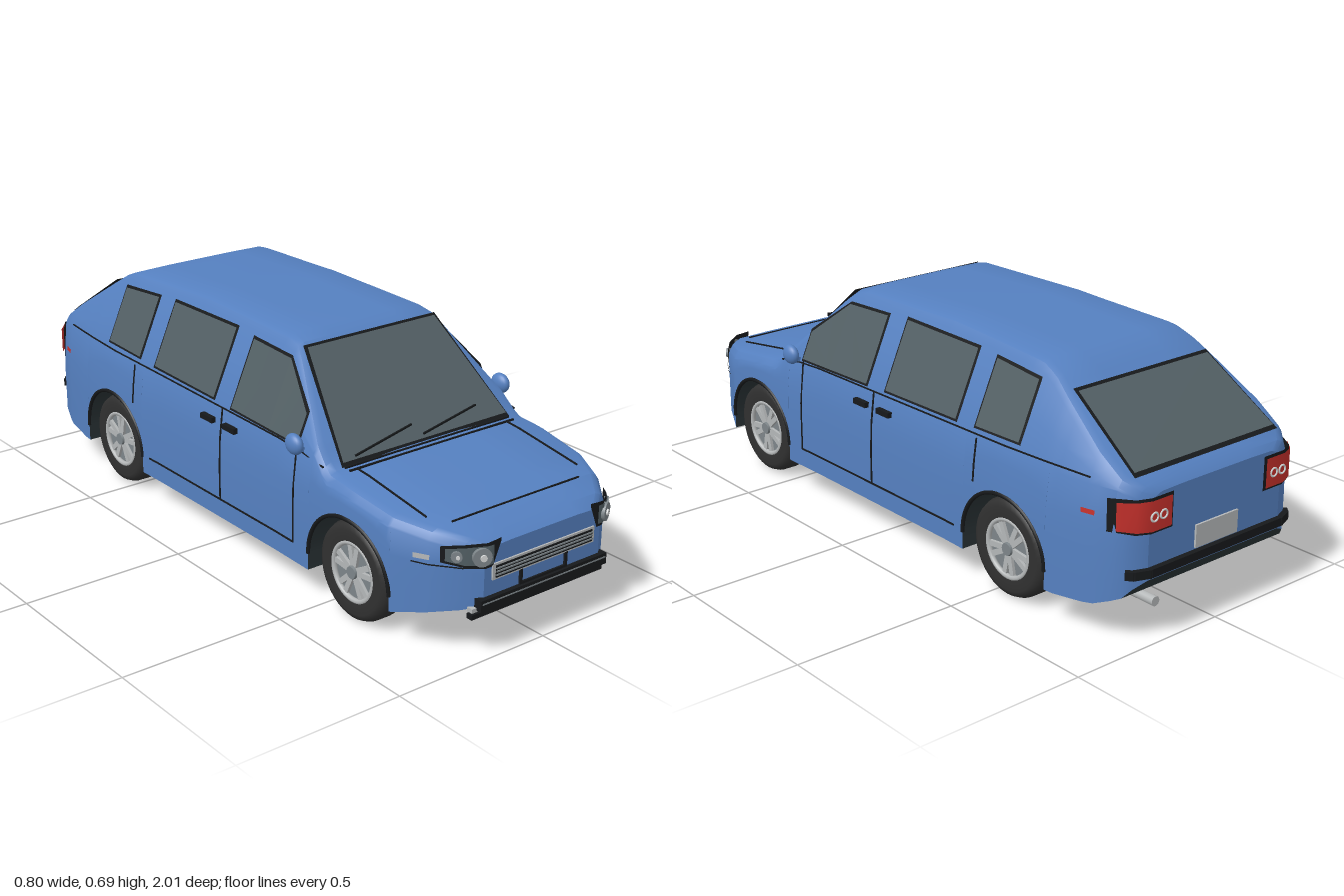
import * as THREE from 'three';
import { toCreasedNormals } from 'three/addons/utils/BufferGeometryUtils.js';

const mat = (name, color) => new THREE.MeshStandardMaterial({ name, color, side: THREE.DoubleSide });
const M = {
  paint: mat('blue paint', 0x5580c0), under: mat('dark underside', 0x2a3336), glass: mat('grey glass', 0x525f64),
  trim: mat('black trim', 0x17191b), tyre: mat('tyre rubber', 0x303030), metal: mat('bright metal', 0xb4b7b8),
  red: mat('red lamp', 0xc4302b), lamp: mat('lamp grey', 0x7d8589), white: mat('light grey', 0xd4d6d6),
};

// Piecewise linear lookup
const lookup = (keys) => (t) => {
  if (t <= keys[0][0]) return keys[0][1];
  for (let i = 1; i < keys.length; i++) {
    const [a, va] = keys[i - 1], [b, vb] = keys[i];
    if (t <= b) return va + (vb - va) * (t - a) / (b - a);
  }
  return keys[keys.length - 1][1];
};

// Body rules along z: half width, top line, bottom line
const widthKeys = [[-0.985, 0.25], [-0.97, 0.29], [-0.93, 0.325], [-0.85, 0.35], [-0.7, 0.366], [-0.55, 0.373],
  [-0.3, 0.366], [0.3, 0.366], [0.62, 0.373], [0.78, 0.36], [0.88, 0.315], [0.95, 0.26], [0.985, 0.21]];
const topKeys = [[-0.985, 0.42], [-0.97, 0.437], [-0.64, 0.652], [-0.58, 0.675], [-0.2, 0.69], [0.2, 0.681],
  [0.25, 0.67], [0.28, 0.645], [0.52, 0.405], [0.6, 0.398], [0.88, 0.357], [0.95, 0.338], [0.985, 0.315]];
const bottomKeys = [[-0.985, 0.18], [-0.95, 0.135], [-0.88, 0.105], [-0.75, 0.09], [0.76, 0.092], [0.985, 0.15]];
const W = lookup(widthKeys), top = lookup(topKeys), bottom = lookup(bottomKeys);
const noseZ = lookup([[0, 0.985], [0.21, 0.985], [0.26, 0.95], [0.315, 0.88], [0.36, 0.78]]);
const tailZ = lookup([[0, -0.985], [0.25, -0.985], [0.29, -0.97], [0.325, -0.93], [0.35, -0.85]]);
const belt = (z) => Math.min(0.43, top(z) - 0.035);
const lowSide = (y, z) => W(z) * (1 - 0.04 * (Math.max(0, y - 0.25) / 0.18) ** 2);
const sideX = (y, z) => y <= belt(z) ? lowSide(y, z) : lowSide(belt(z), z) - (y - belt(z)) * 0.44;

const AXLES = [0.62, -0.555], WHEEL_Y = 0.143, ARCH = 0.165;

function shellHalf(z, yb) {
  const b = belt(z), t = top(z), pts = [0, 0.2, 0.45, 0.7, 1].map((f) => {
    const y = yb + (b - yb) * f;
    return [sideX(y, z), y];
  });
  pts.push([sideX((b + t - 0.03) / 2, z), (b + t - 0.03) / 2], [sideX(t - 0.027, z), t - 0.027],
    [sideX(t - 0.01, z) - 0.005, t - 0.01], [sideX(t, z) - 0.02, t - 0.002], [0.12, t], [0, t]);
  return pts;
}
function floorHalf(z, yb) {
  const wi = Math.min(0.24, W(z) - 0.04), b = bottom(z);
  return [[0, b], [wi, b], [wi, yb], [sideX(yb, z), yb]];
}
const mirrorPts = (h) => [...h, ...h.slice(0, -1).reverse().map(([x, y]) => [-x, y])];

// Skin a list of [z, points] sections
function loft(sections) {
  const n = sections[0][1].length, pos = [], idx = [];
  for (const [z, pts] of sections) for (const [x, y] of pts) pos.push(x, y, z);
  for (let i = 0; i < sections.length - 1; i++) for (let j = 0; j < n - 1; j++) {
    const a = i * n + j, c = a + n;
    idx.push(a, a + 1, c, a + 1, c + 1, c);
  }
  const g = new THREE.BufferGeometry();
  g.setAttribute('position', new THREE.Float32BufferAttribute(pos, 3));
  g.setIndex(idx);
  return toCreasedNormals(g, 0.5);
}

export function createModel() {
  const root = new THREE.Group();
  root.name = 'car';
  const add = (name, geo, m, p = [0, 0, 0], parent = root) => {
    const mesh = new THREE.Mesh(geo, m);
    mesh.name = name;
    mesh.position.set(...p);
    parent.add(mesh);
    return mesh;
  };
  const box = (name, w, h, d, m, p) => add(name, new THREE.BoxGeometry(w, h, d), m, p);
  // Thin bars joining a row of points
  const line = (name, pts, m = M.trim, w = 0.005) => {
    for (let i = 1; i < pts.length; i++) {
      const a = new THREE.Vector3(...pts[i - 1]), b = new THREE.Vector3(...pts[i]);
      const bar = box(name, w, w, a.distanceTo(b) + w * 0.5, m, a.clone().lerp(b, 0.5).toArray());
      bar.lookAt(b);
    }
  };
  // Thin panel from columns [u, low, high], placed by map(u, v)
  const panel = (name, cols, map, m) => {
    const pos = [], idx = [];
    cols.forEach(([u, lo, hi], i) => {
      pos.push(...map(u, lo), ...map(u, hi));
      if (i) idx.push(2 * i - 2, 2 * i, 2 * i - 1, 2 * i, 2 * i + 1, 2 * i - 1);
    });
    // turn the faces outward
    const [a, b, c] = [0, 2, 1].map((k) => new THREE.Vector3(...pos.slice(3 * k, 3 * k + 3)));
    const out = b.clone().sub(a).cross(c.clone().sub(a)).dot(new THREE.Vector3(a.x, 0.2, a.z * 0.5));
    const g = new THREE.BufferGeometry();
    g.setAttribute('position', new THREE.Float32BufferAttribute(pos, 3));
    g.setIndex(out < 0 ? idx.reverse() : idx);
    g.computeVertexNormals();
    return add(name, g, m);
  };
  const grow = (cols, e) => cols.map(([u, lo, hi], i) =>
    [u + (i === 0 ? -1 : i === cols.length - 1 ? 1 : 0) * e * Math.sign(cols[cols.length - 1][0] - cols[0][0]), lo - e, hi + e]);

  // Body stations, with wheel arches raising the lower edge
  const inArch = (z) => AXLES.some((c) => Math.abs(z - c) <= ARCH + 1e-6);
  const stations = [...widthKeys, ...topKeys, ...bottomKeys].map((k) => k[0])
    .filter((z, i, all) => all.indexOf(z) === i && !inArch(z)).map((z) => [z, bottom(z)]);
  for (const c of AXLES) {
    for (let i = 0; i <= 16; i++) {
      const a = Math.PI * i / 16;
      stations.push([c - ARCH * Math.cos(a), WHEEL_Y + ARCH * Math.sin(a)]);
    }
    stations.push([c - ARCH - 1e-5, bottom(c - ARCH)], [c + ARCH + 1e-5, bottom(c + ARCH)]);
  }
  stations.sort((a, b) => a[0] - b[0]);
  add('bodyShell', loft(stations.map(([z, yb]) => [z, mirrorPts(shellHalf(z, yb))])), M.paint);
  add('underbody', loft(stations.map(([z, yb]) => [z, mirrorPts(floorHalf(z, yb).reverse()).map(([x, y]) => [-x, y])])), M.under);
  for (const z of [-0.985, 0.985]) {
    const shape = new THREE.Shape(mirrorPts(shellHalf(z, bottom(z))).map((p) => new THREE.Vector2(...p)));
    const cap = add(z > 0 ? 'noseFace' : 'tailFace', new THREE.ShapeGeometry(shape), M.paint, [0, 0, z]);
    if (z < 0) cap.rotation.y = Math.PI;
  }

  // Windscreen and rear window
  const screen = (o) => (x, y) => [x, y + o, 0.52 - (y - 0.405) + o];
  const backlight = (o) => (x, y) => [x, y + o, -0.97 + (y - 0.437) / 0.652 - o * 0.7];
  const byHeight = (lo, hi, wl, wh, map) => [[[-1, lo, hi], [1, lo, hi]], (s, y) => map(s * (wl + (wh - wl) * (y - lo) / (hi - lo)), y)];
  panel('windscreenFrame', ...byHeight(0.402, 0.662, 0.308, 0.24, screen(0.003)), M.trim);
  panel('windscreen', ...byHeight(0.41, 0.655, 0.3, 0.232, screen(0.006)), M.glass);
  panel('rearWindowFrame', ...byHeight(0.453, 0.617, 0.27, 0.25, backlight(0.004)), M.trim);
  panel('rearWindow', ...byHeight(0.46, 0.61, 0.263, 0.243, backlight(0.007)), M.glass);
  line('wiper', [[-0.255, 0.425, 0.518], [-0.035, 0.452, 0.49]]);
  line('wiper', [[-0.01, 0.427, 0.516], [0.205, 0.452, 0.49]]);

  // Bonnet seams
  const hood = (x, z) => [x, top(z) + 0.001, z];
  for (const z of [0.53, 0.55]) line('cowlSeam', [hood(-0.3, z), hood(0.3, z)]);
  line('bonnetSeam', [hood(-0.23, 0.88), hood(0.23, 0.88)], M.trim, 0.004);
  for (const s of [-1, 1]) line('bonnetSeam', [0.55, 0.6, 0.7, 0.83].map((z) => hood(s * 0.275, z)), M.trim, 0.004);

  const windows = [
    [[0.385, 0.44, 0.52], [0.25, 0.442, 0.63], [0.07, 0.446, 0.637]],
    [[-0.02, 0.45, 0.645], [-0.335, 0.455, 0.642]],
    [[-0.42, 0.46, 0.637], [-0.595, 0.465, 0.625]],
  ];
  for (const s of [-1, 1]) {
    const side = (o) => (z, y) => [s * (sideX(y, z) + o), y, z];
    const on = side(0), nose = (o) => (x, y) => [s * x, y, noseZ(x) + o], tail = (o) => (x, y) => [s * x, y, tailZ(x) - o];
    // Side windows
    for (const w of windows) {
      panel('sideWindowFrame', grow(w, 0.007), side(0.003), M.trim);
      panel('sideWindow', w, side(0.006), M.glass);
    }
    // Door seams, belt line, handles
    line('doorSeam', [[0.385, 0.43], [0.385, 0.3], [0.385, 0.15], [0.3, 0.15], [-0.3, 0.15], [-0.35, 0.15]].map((p) => on(...p)));
    line('doorSeam', [[0.03, 0.43], [0.03, 0.34], [0.03, 0.25], [0.03, 0.15]].map((p) => on(...p)));
    line('doorSeam', [[-0.435, 0.43], [-0.435, 0.36], [-0.435, 0.31]].map((p) => on(...p)));
    line('beltLine', [[0.5, 0.41], [0.4, 0.426], [0.3, 0.43], [-0.3, 0.437], [-0.55, 0.443], [-0.7, 0.445], [-0.85, 0.445]].map((p) => on(...p)), M.trim, 0.004);
    for (const z of [0.08, -0.03]) box('doorHandle', 0.016, 0.016, 0.058, M.trim, side(0.005)(z, 0.388));
    // Arch lips
    for (const c of AXLES) {
      const pts = Array.from({ length: 17 }, (_, i) => {
        const a = Math.PI * i / 16, z = c - ARCH * Math.cos(a), y = WHEEL_Y + ARCH * Math.sin(a);
        return new THREE.Vector3(...on(z, y));
      });
      add('archLip', new THREE.TubeGeometry(new THREE.CatmullRomCurve3(pts), 32, 0.006, 6), M.trim);
    }
    // Door mirror
    add('mirror', new THREE.SphereGeometry(1, 20, 14), M.paint, [s * 0.381, 0.455, 0.41]).scale.set(0.019, 0.03, 0.034);
    line('mirrorArm', [[s * 0.335, 0.428, 0.41], [s * 0.375, 0.44, 0.41]], M.paint, 0.014);
    // Headlamp
    panel('headlampHousing', [[0.163, 0.328, 0.337], [0.188, 0.265, 0.335], [0.21, 0.265, 0.334], [0.26, 0.266, 0.329], [0.297, 0.274, 0.32]], nose(0.008), M.trim);
    panel('headlampLens', [[0.19, 0.272, 0.326], [0.21, 0.272, 0.327], [0.26, 0.273, 0.322], [0.291, 0.28, 0.314]], nose(0.012), M.glass);
    for (const [x, r] of [[0.224, 0.026], [0.273, 0.015]]) {
      for (const [k, m, o] of [[1, M.lamp, 0.014], [0.35, M.white, 0.019]]) {
        const disc = add('headlampBulb', new THREE.CylinderGeometry(r * k, r * k, 0.012, 20), m, nose(o)(x, 0.297));
        disc.rotation.set(Math.PI / 2, 0, x > 0.25 ? -s * 0.9 : -s * 0.5, 'YXZ');
        disc.rotation.set(Math.PI / 2, s * (x > 0.25 ? 0.8 : 0.45), 0, 'YXZ');
      }
    }
    panel('noseSeam', [[0.19, 0.261, 0.265], [0.21, 0.261, 0.265], [0.26, 0.261, 0.265], [0.315, 0.261, 0.265], [0.335, 0.261, 0.265]], nose(0.006), M.trim);
    panel('frontMarker', [[0.89, 0.277, 0.291], [0.85, 0.277, 0.291]], side(0.008), M.metal);
    panel('rearMarker', [[-0.84, 0.353, 0.366], [-0.88, 0.353, 0.366]], side(0.006), M.red);
    // Tail lamp
    const tl = [[0.18, 0.32, 0.405], [0.25, 0.32, 0.405], [0.29, 0.322, 0.405], [0.325, 0.325, 0.403]];
    panel('tailLampFrame', grow(tl, 0.007), tail(0.007), M.trim);
    panel('tailLamp', tl, tail(0.011), M.red);
    for (const x of [0.21, 0.243]) {
      add('tailLampRing', new THREE.TorusGeometry(0.012, 0.003, 6, 18), M.white, [s * x, 0.36, -0.996]);
    }
  }

  // Grille
  box('grilleFrame', 0.37, 0.046, 0.012, M.metal, [0, 0.242, 0.984]);
  box('grilleBack', 0.35, 0.034, 0.012, M.trim, [0, 0.242, 0.987]);
  for (const y of [0.233, 0.243, 0.252]) box('grilleBar', 0.35, 0.004, 0.006, M.lamp, [0, y, 0.993]);
  // Front bumper and plate bracket
  box('frontBumper', 0.46, 0.032, 0.026, M.trim, [0, 0.16, 0.986]);
  box('bumperGroove', 0.45, 0.004, 0.004, M.lamp, [0, 0.165, 0.998]);
  box('bumperChrome', 0.49, 0.012, 0.02, M.metal, [0, 0.145, 0.972]);
  box('lowerBumperBar', 0.48, 0.014, 0.02, M.trim, [0, 0.122, 0.966]);
  for (const x of [-0.18, 0.18]) box('bumperStrut', 0.02, 0.04, 0.012, M.trim, [x, 0.138, 0.963]);
  for (const x of [-0.082, 0.082]) box('plateBracket', 0.009, 0.045, 0.008, M.trim, [x, 0.198, 0.987]);
  box('plateBracket', 0.17, 0.008, 0.008, M.trim, [0, 0.179, 0.987]);
  // Rear bumper strip, plate, exhaust
  const strip = [-0.3, -0.29, -0.25, 0.25, 0.29, 0.3].map((x) => [x, 0.205, tailZ(Math.abs(x)) - 0.004]);
  line('rearBumperStrip', strip, M.trim, 0.024);
  box('rearPlate', 0.16, 0.065, 0.008, M.metal, [0, 0.255, -0.987]);
  add('exhaust', new THREE.CylinderGeometry(0.014, 0.014, 0.12, 16), M.metal, [0.2, 0.1, -0.91]).rotation.x = Math.PI / 2;

  // Wheels
  const tyreProfile = [[0.088, -0.042], [0.12, -0.046], [0.136, -0.038], [0.143, -0.022], [0.143, 0.022], [0.136, 0.038], [0.12, 0.046], [0.088, 0.042]]
    .map((p) => new THREE.Vector2(...p));
  for (const s of [-1, 1]) for (const z of AXLES) {
    const wheel = new THREE.Group();
    wheel.name = 'wheel';
    wheel.position.set(s * 0.306, WHEEL_Y, z);
    wheel.rotation.z = -s * Math.PI / 2;
    root.add(wheel);
    add('tyre', new THREE.LatheGeometry(tyreProfile, 40), M.tyre, [0, 0, 0], wheel);
    add('rimDish', new THREE.CylinderGeometry(0.09, 0.09, 0.06, 32), M.lamp, [0, 0, 0], wheel);
    add('rimRing', new THREE.TorusGeometry(0.084, 0.008, 8, 36), M.metal, [0, 0.036, 0], wheel).rotation.x = Math.PI / 2;
    add('hub', new THREE.CylinderGeometry(0.018, 0.022, 0.02, 16), M.lamp, [0, 0.036, 0], wheel);
    for (let i = 0; i < 5; i++) for (const d of [-0.2, 0.2]) {
      const a = i * Math.PI * 0.4 + d;
      const spoke = add('spoke', new THREE.BoxGeometry(0.07, 0.01, 0.016), M.metal, [Math.cos(a) * 0.05, 0.034, Math.sin(a) * 0.05], wheel);
      spoke.rotation.y = -a;
    }
  }
  return root;
}
